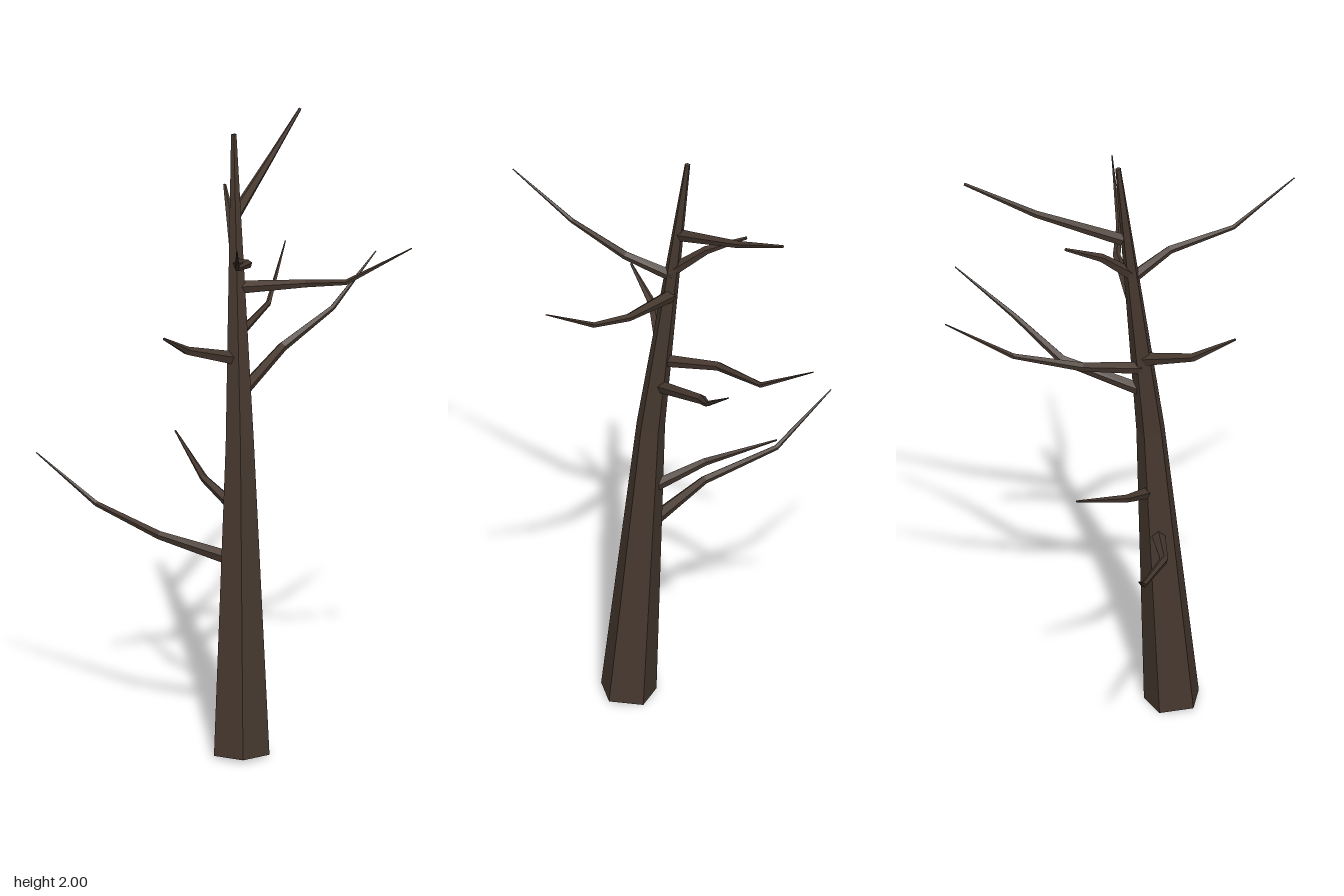
import * as THREE from 'three';

const SIDES = 5;

// Faceted tapering limb swept through points [x, y, z, radius], closed at both ends
function limbGeometry(points, ref) {
  const centres = points.map(([x, y, z]) => new THREE.Vector3(x, y, z));
  const last = centres.length - 1;
  const rings = centres.map((c, i) => {
    const t = new THREE.Vector3();
    if (i > 0) t.add(c.clone().sub(centres[i - 1]).normalize());
    if (i < last) t.add(centres[i + 1].clone().sub(c).normalize());
    t.normalize();
    const w = ref.clone().addScaledVector(t, -ref.dot(t)).normalize();
    const u = t.clone().cross(w);
    return Array.from({ length: SIDES }, (_, j) => {
      const a = (j / SIDES) * Math.PI * 2;
      return c.clone()
        .addScaledVector(w, Math.cos(a) * points[i][3])
        .addScaledVector(u, Math.sin(a) * points[i][3]);
    });
  });

  const pos = [];
  const tri = (...vs) => vs.forEach((v) => pos.push(v.x, v.y, v.z));
  for (let j = 0; j < SIDES; j++) {
    const k = (j + 1) % SIDES;
    for (let i = 0; i < last; i++) {
      tri(rings[i][j], rings[i][k], rings[i + 1][k]);
      tri(rings[i][j], rings[i + 1][k], rings[i + 1][j]);
    }
    tri(centres[0], rings[0][k], rings[0][j]);
    tri(centres[last], rings[last][j], rings[last][k]);
  }
  const g = new THREE.BufferGeometry();
  g.setAttribute('position', new THREE.Float32BufferAttribute(pos, 3));
  g.computeVertexNormals();
  return g;
}

export function createModel() {
  const bark = new THREE.MeshStandardMaterial({ color: 0x46382f, flatShading: true });
  bark.name = 'dark bark';
  const model = new THREE.Group();
  model.name = 'bareTree';

  const add = (name, points, ref) => {
    const mesh = new THREE.Mesh(limbGeometry(points, ref), bark);
    mesh.name = name;
    model.add(mesh);
  };

  // Leaning five-sided trunk
  add('trunk', [
    [0.142, 0.009, 0.172, 0.092],
    [0.097, 1.01, 0.11, 0.047],
    [0.017, 1.999, 0.018, 0.009],
  ], new THREE.Vector3(0, 0, -1));

  // Bare branches, from the lowest to the highest
  const up = new THREE.Vector3(0, 1, 0);
  const branches = {
    lowRightBranch: [[0.1, 0.63, 0.13, 0.024], [-0.15, 0.685, 0.19, 0.014], [-0.4, 0.737, 0.165, 0.009], [-0.613, 0.873, 0.183, 0.002]],
    lowRightTwig: [[0.09, 0.785, 0.105, 0.021], [-0.07, 0.85, 0.055, 0.013], [-0.257, 0.937, -0.072, 0.003]],
    backLeftBranch: [[0.08, 1.165, 0.08, 0.021], [0.08, 1.25, -0.17, 0.016], [0.162, 1.347, -0.335, 0.009], [0.2, 1.485, -0.53, 0.002]],
    backRightBranch: [[0.06, 1.255, 0.08, 0.021], [-0.03, 1.295, -0.09, 0.015], [-0.057, 1.33, -0.305, 0.009], [-0.124, 1.465, -0.51, 0.002]],
    frontTwig: [[0.07, 1.28, 0.08, 0.023], [-0.002, 1.345, 0.26, 0.014], [-0.005, 1.424, 0.395, 0.004]],
    leftBranch: [[0.055, 1.508, 0.055, 0.022], [0.26, 1.535, -0.025, 0.013], [0.4, 1.56, -0.04, 0.009], [0.608, 1.695, -0.095, 0.002]],
    frontLeftBranch: [[0.05, 1.58, 0.05, 0.02], [0.16, 1.635, 0.16, 0.014], [0.24, 1.688, 0.35, 0.008], [0.35, 1.82, 0.527, 0.002]],
    upperBackTwig: [[0.045, 1.605, 0.05, 0.02], [-0.025, 1.695, -0.03, 0.014], [-0.11, 1.765, -0.13, 0.005]],
    topBackBranch: [[0.03, 1.735, 0.03, 0.02], [-0.015, 1.83, -0.24, 0.012], [-0.04, 1.933, -0.463, 0.005]],
  };
  for (const [name, points] of Object.entries(branches)) add(name, points, up);

  return model;
}
